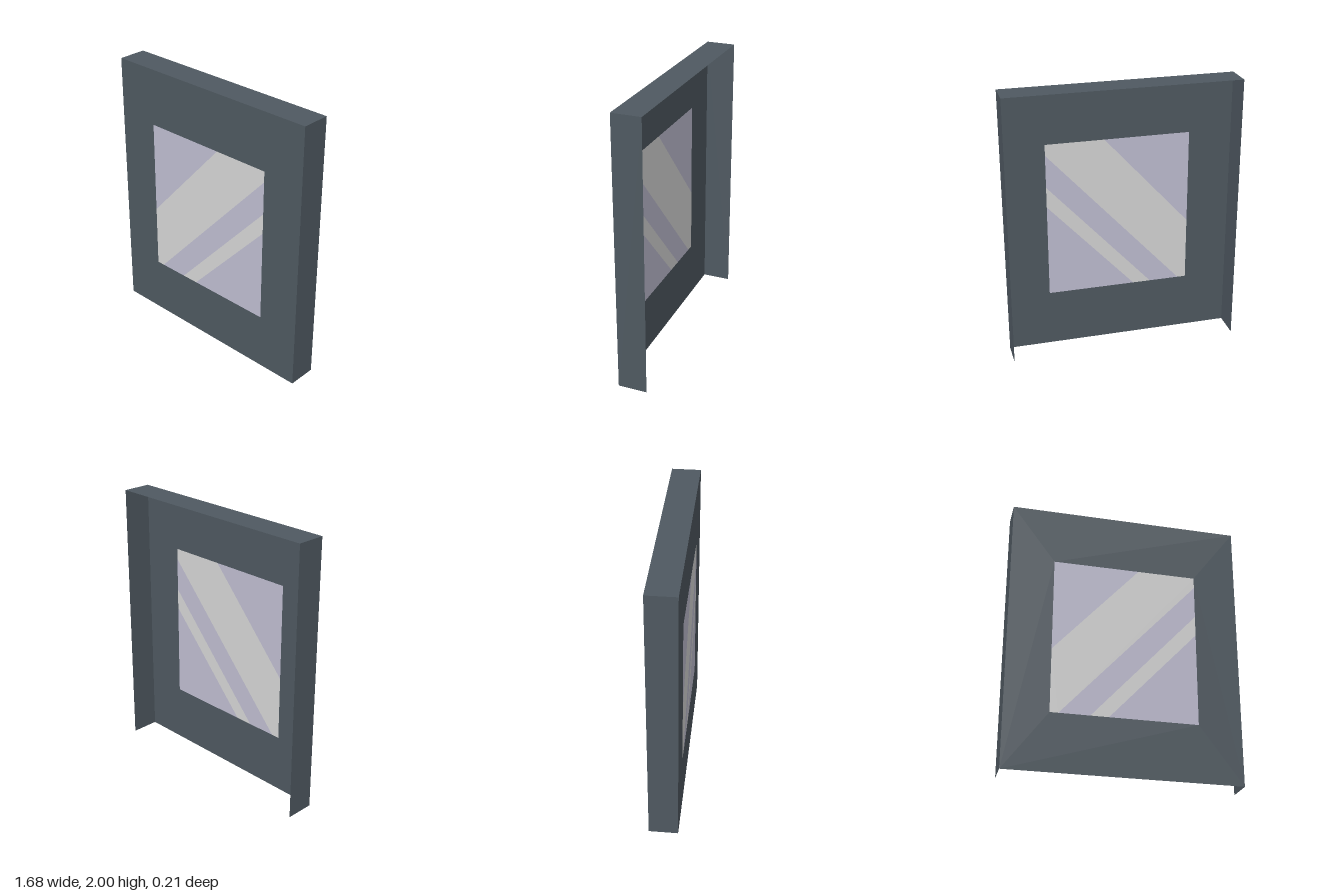
import * as THREE from 'three';

const W = 0.84, H = 2, D = 0.105;                 // half width, height, half depth
const GX = 0.525, GB = 0.42, GT = 1.58;           // glass opening

const material = (name, color) => {
  const m = new THREE.MeshStandardMaterial({ color, side: THREE.DoubleSide });
  m.name = name;
  return m;
};

const polygon = (points) => new THREE.Shape(points.map(([x, y]) => new THREE.Vector2(x, y)));

export function createModel() {
  const model = new THREE.Group();
  model.name = 'window';
  const frameMat = material('slate frame', 0x4f5961);
  const glassMat = material('lilac glass', 0xc0bed2);
  const streakMat = material('pale reflection', 0xd6d6d6);

  const add = (name, geometry, mat, x, y, z) => {
    const mesh = new THREE.Mesh(geometry, mat);
    mesh.name = name;
    mesh.position.set(x, y, z);
    model.add(mesh);
    return mesh;
  };

  // Front panel with a rectangular opening
  const front = polygon([[-W, 0], [W, 0], [W, H], [-W, H]]);
  front.holes.push(polygon([[-GX, GB], [-GX, GT], [GX, GT], [GX, GB]]));
  add('frontPanel', new THREE.ShapeGeometry(front), frameMat, 0, 0, D);

  // Thin side and top returns; back and bottom stay open
  for (const s of [-1, 1]) {
    const side = new THREE.PlaneGeometry(2 * D, H).rotateY(s * Math.PI / 2);
    add(s > 0 ? 'leftSide' : 'rightSide', side, frameMat, s * W, H / 2, 0);
  }
  add('topPanel', new THREE.PlaneGeometry(2 * W, 2 * D).rotateX(-Math.PI / 2), frameMat, 0, H, 0);

  // Glass flush with the front panel, divided by two diagonal reflections
  const a0 = [-GX, 0.89], a1 = [0.1, GT];
  const b0 = [-0.465, GB], b1 = [GX, 1.5];
  const c0 = [-0.245, GB], c1 = [GX, 1.26];
  const d0 = [-0.115, GB], d1 = [GX, 1.11];
  const panes = [
    ['upperGlass', glassMat, [a0, a1, [-GX, GT]]],
    ['wideReflection', streakMat, [a0, [-GX, GB], b0, b1, [GX, GT], a1]],
    ['middleGlass', glassMat, [b0, c0, c1, b1]],
    ['narrowReflection', streakMat, [c0, d0, d1, c1]],
    ['lowerGlass', glassMat, [d0, [GX, GB], d1]],
  ];
  for (const [name, mat, points] of panes) {
    add(name, new THREE.ShapeGeometry(polygon(points)), mat, 0, 0, D);
  }
  return model;
}
